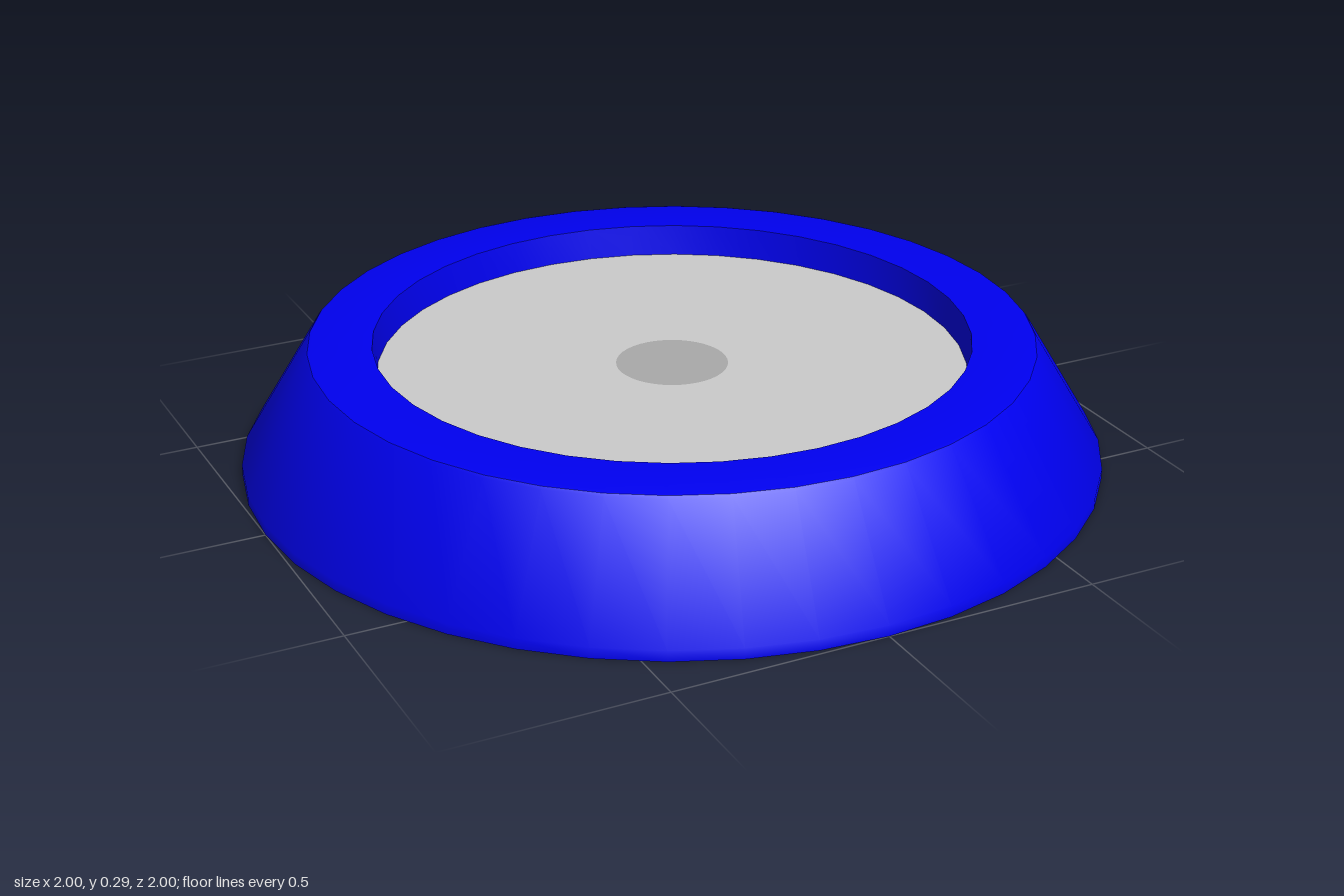
import * as THREE from 'three';
import { toCreasedNormals } from 'three/addons/utils/BufferGeometryUtils.js';

const SIDES = 40;

function addMesh(group, name, geometry, material) {
  const mesh = new THREE.Mesh(geometry, material);
  mesh.name = name;
  group.add(mesh);
  return mesh;
}

export function createModel() {
  const group = new THREE.Group();
  group.name = 'roundDish';

  const blue = new THREE.MeshStandardMaterial({ color: 0x0000f0, side: THREE.DoubleSide });
  const grey = new THREE.MeshStandardMaterial({ color: 0xcccccc, side: THREE.DoubleSide });
  const darkGrey = new THREE.MeshStandardMaterial({ color: 0xaaaaaa, side: THREE.DoubleSide });

  const plateHeight = 0.22;
  const plateRadius = 0.682;

  // Hollow rim: skirt, softened top edge, flat lip, collar down to the plate,
  // then the underside of the lip and the inner skirt
  const profile = [
    [0.935, 0], [1, 0], [1, 0.025], [0.842, 0.287], [0.837, 0.293], [0.829, 0.295],
    [0.69, 0.295], [plateRadius, plateHeight], [0.685, plateHeight], [0.686, 0.25],
    [0.77, 0.25], [0.778, 0.248], [0.784, 0.243], [0.935, 0],
  ].map(([r, y]) => new THREE.Vector2(r, y));
  addMesh(group, 'rim', toCreasedNormals(new THREE.LatheGeometry(profile, SIDES), 0.6), blue);

  // Thin plate closing the collar, with a darker round centre
  const plate = new THREE.RingGeometry(0.13, plateRadius, SIDES).rotateX(-Math.PI / 2);
  const centre = new THREE.CircleGeometry(0.13, SIDES).rotateX(-Math.PI / 2);
  addMesh(group, 'plate', plate, grey).position.y = plateHeight;
  addMesh(group, 'plateCentre', centre, darkGrey).position.y = plateHeight;

  return group;
}
